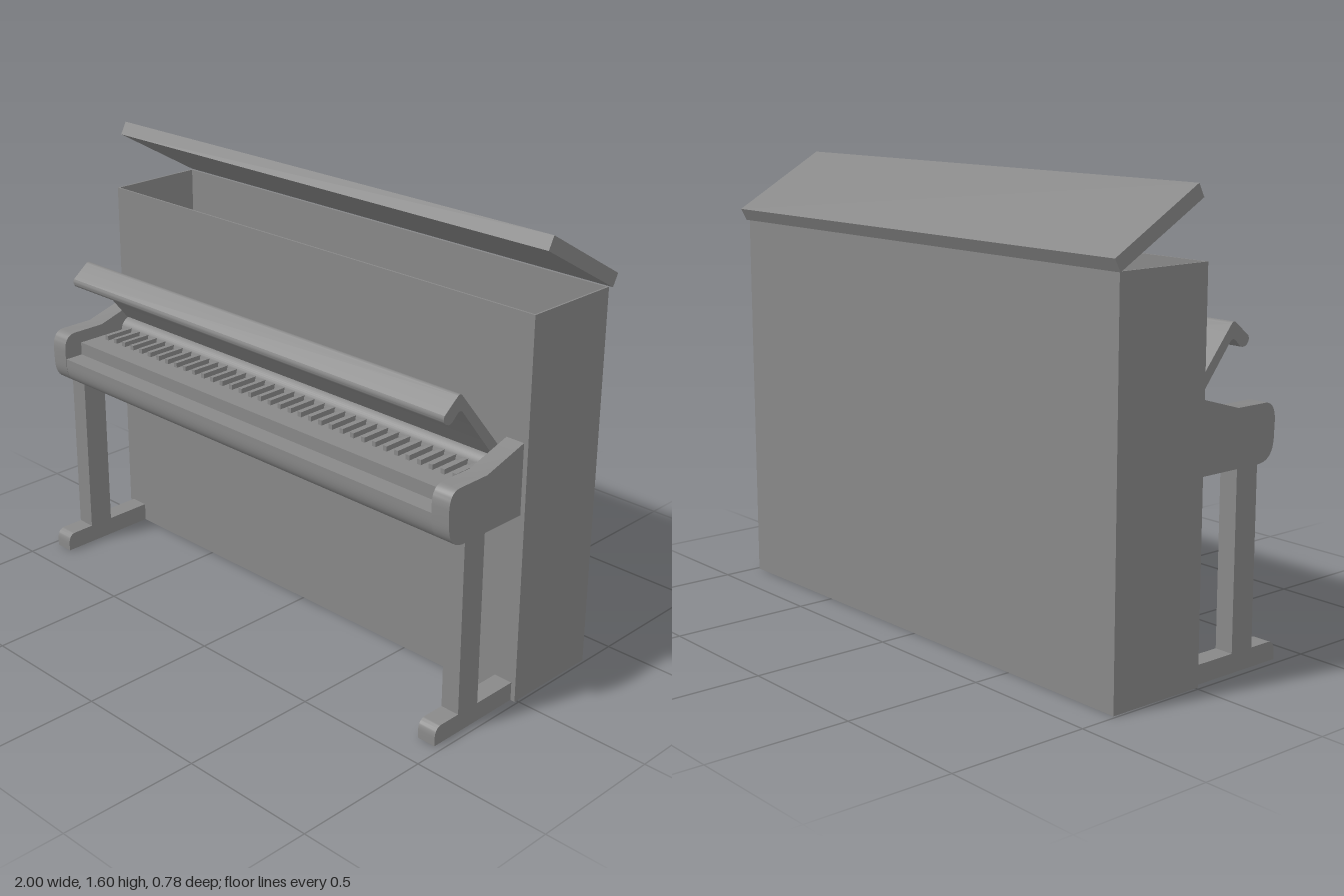
import * as THREE from 'three';
import { toCreasedNormals } from 'three/addons/utils/BufferGeometryUtils.js';

const material = new THREE.MeshStandardMaterial({ color: 0x888888 });

function add(group, name, geometry) {
  const mesh = new THREE.Mesh(geometry, material);
  mesh.name = name;
  group.add(mesh);
  return mesh;
}

// Box given by its limits on each axis
function box(group, name, x0, x1, y0, y1, z0, z1) {
  const mesh = add(group, name, new THREE.BoxGeometry(x1 - x0, y1 - y0, z1 - z0));
  mesh.position.set((x0 + x1) / 2, (y0 + y1) / 2, (z0 + z1) / 2);
}

// Side profile drawn in (z, y), extruded along x from x0 to x1
function profile(group, name, shape, x0, x1) {
  const geometry = new THREE.ExtrudeGeometry(shape, { depth: x1 - x0, bevelEnabled: false, curveSegments: 10 });
  geometry.rotateY(-Math.PI / 2);
  geometry.translate(x1, 0, 0);
  add(group, name, toCreasedNormals(geometry, 0.5));
}

function lidShape() {
  const s = new THREE.Shape();
  s.moveTo(-0.369, 1.359);
  s.lineTo(-0.025, 1.556);
  s.lineTo(-0.048, 1.6);
  s.lineTo(-0.392, 1.401);
  return s;
}

function armShape() {
  const s = new THREE.Shape();
  s.moveTo(0.01, 0.683);
  s.lineTo(0.28, 0.683);
  s.bezierCurveTo(0.335, 0.683, 0.358, 0.715, 0.358, 0.77);
  s.lineTo(0.36, 0.82);
  s.quadraticCurveTo(0.358, 0.881, 0.31, 0.881);
  s.lineTo(0.185, 0.881);
  s.lineTo(0.01, 0.933);
  return s;
}

function footShape() {
  const s = new THREE.Shape();
  s.moveTo(0.01, 0);
  s.lineTo(0.392, 0);
  s.lineTo(0.392, 0.03);
  s.quadraticCurveTo(0.39, 0.067, 0.36, 0.067);
  s.lineTo(0.01, 0.067);
  return s;
}

function keybedShape() {
  const s = new THREE.Shape();
  s.moveTo(0.01, 0.683);
  s.lineTo(0.28, 0.683);
  s.bezierCurveTo(0.335, 0.683, 0.356, 0.715, 0.356, 0.765);
  s.lineTo(0.356, 0.787);
  s.lineTo(0.01, 0.787);
  return s;
}

function railShape() {
  const s = new THREE.Shape();
  s.moveTo(0.01, 0.835);
  s.lineTo(0.09, 0.835);
  s.quadraticCurveTo(0.085, 0.873, 0.045, 0.882);
  s.lineTo(0.01, 0.882);
  return s;
}

function fallboardShape() {
  const s = new THREE.Shape();
  s.moveTo(0.018, 0.884);
  s.lineTo(0.066, 0.884);
  s.lineTo(0.223, 1.08);
  s.quadraticCurveTo(0.235, 1.09, 0.246, 1.081);
  s.lineTo(0.268, 1.06);
  s.bezierCurveTo(0.288, 1.045, 0.32, 1.068, 0.306, 1.091);
  s.lineTo(0.248, 1.137);
  s.quadraticCurveTo(0.236, 1.147, 0.226, 1.135);
  return s;
}

export function createModel() {
  const piano = new THREE.Group();
  piano.name = 'uprightPiano';

  // Hollow thin-walled case, open at the top
  const cabinet = new THREE.Group();
  cabinet.name = 'case';
  piano.add(cabinet);
  const half = 0.99, wall = 0.006, back = -0.362, front = 0.01, top = 1.36;
  box(cabinet, 'caseFront', -half, half, 0, top, front - wall, front);
  box(cabinet, 'caseBack', -half, half, 0, top, back, back + wall);
  for (const x of [-half, half - wall]) {
    box(cabinet, 'caseSide', x, x + wall, 0, top, back + wall, front - wall);
  }
  box(cabinet, 'caseBottom', -half + wall, half - wall, 0, wall, back + wall, front - wall);

  // Raised lid, hinged along the back edge
  profile(piano, 'lid', lidShape(), -1, 1);

  // Arm, leg and foot at each end
  for (const side of [-1, 1]) {
    const support = new THREE.Group();
    support.name = side > 0 ? 'leftSupport' : 'rightSupport';
    piano.add(support);
    const x0 = side * 0.938 - 0.035, x1 = x0 + 0.07;
    profile(support, 'arm', armShape(), x0, x1);
    box(support, 'leg', x0, x1, 0.067, 0.683, 0.185, 0.28);
    profile(support, 'foot', footShape(), x0, x1);
  }

  // Keybed, white key slab and rail behind the keys
  const inner = 0.903;
  profile(piano, 'keybed', keybedShape(), -inner, inner);
  box(piano, 'whiteKeys', -inner, inner, 0.787, 0.835, 0.01, 0.285);
  profile(piano, 'keyRail', railShape(), -inner, inner);

  // Row of narrow black keys
  const blackKeys = new THREE.Group();
  blackKeys.name = 'blackKeys';
  piano.add(blackKeys);
  const count = 36;
  for (let i = 0; i < count; i++) {
    const x = -0.855 + (1.71 * i) / (count - 1);
    box(blackKeys, 'blackKey', x - 0.008, x + 0.008, 0.835, 0.853, 0.08, 0.2);
  }

  // Open fallboard with its folded lip
  profile(piano, 'fallboard', fallboardShape(), -0.897, 0.897);

  return piano;
}
